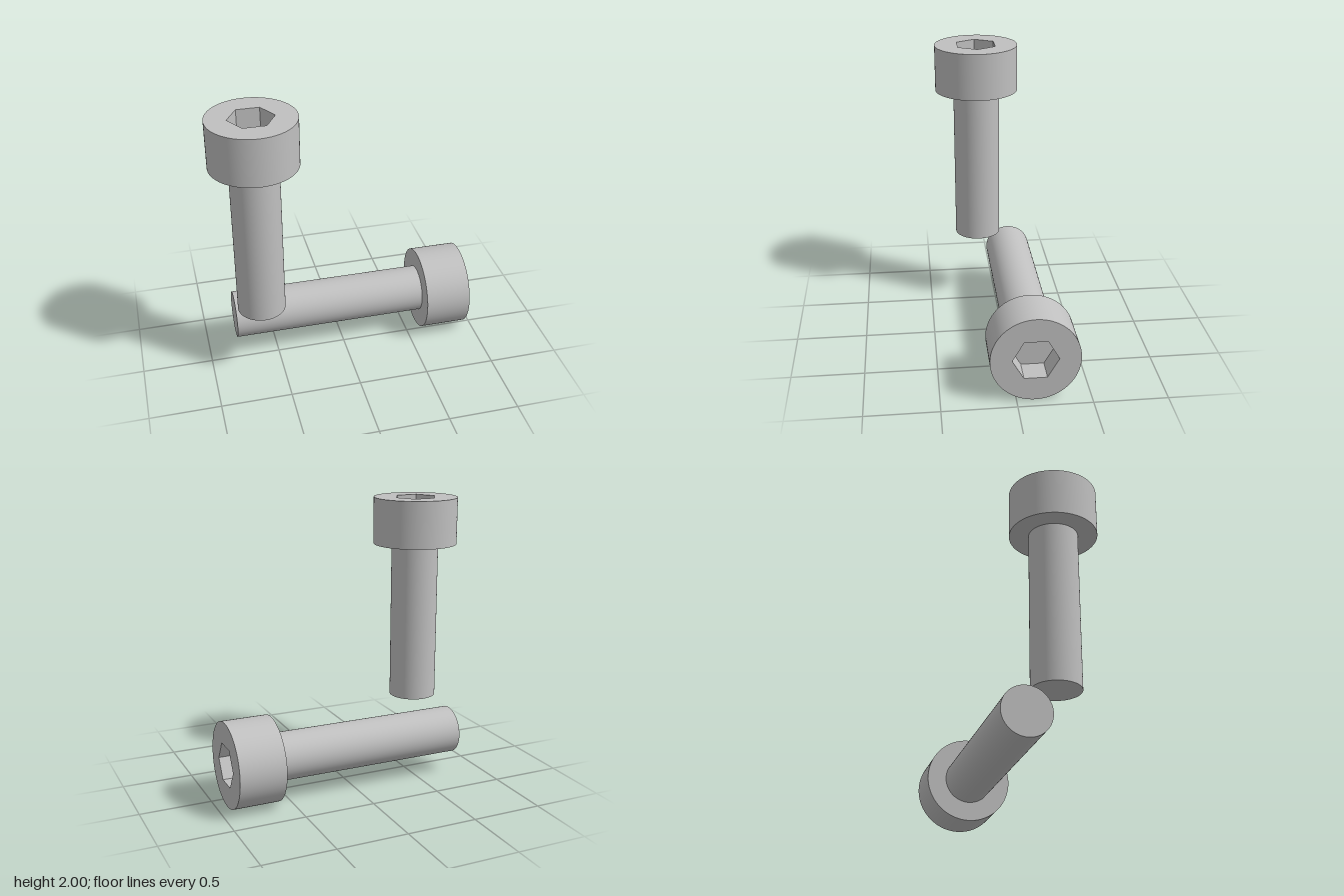
import * as THREE from 'three';

const HEAD_R = 0.3, SHAFT_R = 0.168, HEX_R = 0.155, SOCKET_DEPTH = 0.17, SIDES = 96;

const steel = new THREE.MeshStandardMaterial({ color: 0xc0c0c0 });
steel.name = 'steel';

function addPart(group, name, geometry) {
  const mesh = new THREE.Mesh(geometry, steel);
  mesh.name = name;
  group.add(mesh);
}

// Socket-head bolt standing along +y, with its tip at the origin
function makeBolt(name, shaftLength, headLength) {
  const bolt = new THREE.Group();
  bolt.name = name;
  const top = shaftLength + headLength;

  // Shaft with a flat tip
  addPart(bolt, 'shaft',
    new THREE.CylinderGeometry(SHAFT_R, SHAFT_R, shaftLength, SIDES).translate(0, shaftLength / 2, 0));

  // Head: side wall, underside ring and top face with a hexagonal opening
  addPart(bolt, 'headSide',
    new THREE.CylinderGeometry(HEAD_R, HEAD_R, headLength, SIDES, 1, true)
      .translate(0, shaftLength + headLength / 2, 0));
  addPart(bolt, 'headUnderside',
    new THREE.RingGeometry(SHAFT_R, HEAD_R, SIDES).rotateX(Math.PI / 2).translate(0, shaftLength, 0));

  const face = new THREE.Shape().absarc(0, 0, HEAD_R, 0, Math.PI * 2);
  const hexPoints = [];
  for (let i = 0; i < 6; i++) {
    const a = -i * Math.PI / 3;
    hexPoints.push(new THREE.Vector2(HEX_R * Math.cos(a), HEX_R * Math.sin(a)));
  }
  face.holes.push(new THREE.Path(hexPoints));
  addPart(bolt, 'headFace',
    new THREE.ShapeGeometry(face, SIDES).rotateX(-Math.PI / 2).translate(0, top, 0));

  // Hexagonal socket: mirrored so that its walls face inward
  const walls = new THREE.CylinderGeometry(HEX_R, HEX_R, SOCKET_DEPTH, 6, 1, true, Math.PI / 2)
    .toNonIndexed().scale(-1, 1, 1).translate(0, top - SOCKET_DEPTH / 2, 0);
  walls.computeVertexNormals();
  addPart(bolt, 'socketWalls', walls);
  addPart(bolt, 'socketFloor',
    new THREE.CircleGeometry(HEX_R, 6).rotateX(-Math.PI / 2).translate(0, top - SOCKET_DEPTH, 0));
  return bolt;
}

export function createModel() {
  const model = new THREE.Group();
  model.name = 'twoBolts';

  const upright = makeBolt('uprightBolt', 1.136, 0.334);
  upright.position.set(-0.627, 0.53, 0.125);

  // Lying bolt: turned a quarter about its axis, then tipped towards +x
  const lying = makeBolt('lyingBolt', 1.397, 0.328);
  lying.rotation.set(0, Math.PI / 2, -Math.PI / 2, 'ZYX');
  lying.position.set(-0.799, 0.3, -0.125);

  model.add(upright, lying);
  return model;
}
